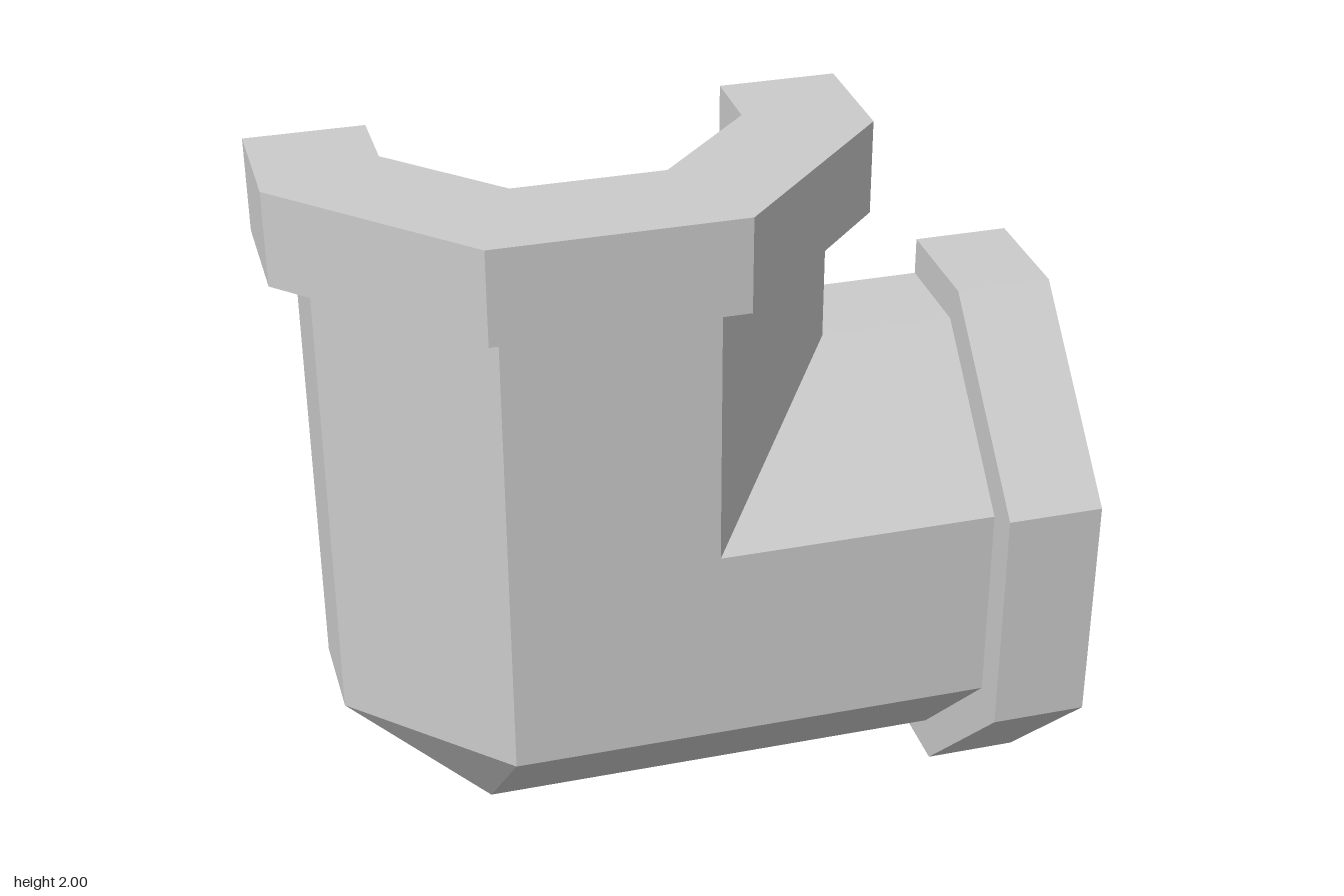
import * as THREE from 'three';

// Half-pipe cross-sections as [u, z]: u is the offset from the pipe axis
// (positive on the outside of the bend), z is depth. Back is cut flat.
const BACK = -0.375;
const outer = (half, flat, front) => [
  [half, BACK], [half, front - (half - flat)], [flat, front],
  [-flat, front], [-half, front - (half - flat)], [-half, BACK],
];
const BEND = 0.27; // beyond this offset the outer corner is cut at 45 degrees
const bore = [
  [-0.45, BACK], [-0.45, -0.185], [-0.19, 0.075], [0.19, 0.075],
  [BEND, -0.005], [0.45, -0.185], [0.45, BACK],
];
const flange = [...outer(0.75, 0.3125, 0.375), ...bore];
const pipe = [...outer(0.65, BEND, 0.275), ...bore];

// Axes of the upright and the sideways branch
const AX = -0.25, AY = 0.75;
const upright = (section, y) => section.map(([u, z]) => new THREE.Vector3(AX - u, y, z));
const sideways = (section, x) => section.map(([u, z]) => new THREE.Vector3(x, AY - u, z));

function elbowGeometry() {
  // Rings from the top opening, round the mitred bend, to the side opening
  const rings = [
    upright(flange, 2), upright(flange, 1.755), upright(pipe, 1.755),
    pipe.map(([u, z]) => new THREE.Vector3(AX - u, AY - Math.min(u, BEND), z)),
    pipe.map(([u, z]) => new THREE.Vector3(AX - Math.min(u, BEND), AY - u, z)),
    sideways(pipe, 0.75), sideways(flange, 0.75), sideways(flange, 1),
  ];
  const positions = [];
  const triangle = (a, b, c) => {
    // rings share points in places, so leave out collapsed triangles
    if (new THREE.Triangle(a, b, c).getArea() < 1e-7) return;
    for (const p of [a, b, c]) positions.push(p.x, p.y, p.z);
  };

  // Walls between neighbouring rings
  for (let s = 0; s < rings.length - 1; s++) {
    const a = rings[s], b = rings[s + 1];
    for (let i = 0; i < a.length; i++) {
      const j = (i + 1) % a.length;
      triangle(b[i], b[j], a[j]);
      triangle(b[i], a[j], a[i]);
    }
  }

  // End faces of the two flanges
  const contour = flange.map(([u, z]) => new THREE.Vector2(-u, -z));
  const first = rings[0], last = rings[rings.length - 1];
  for (const [a, b, c] of THREE.ShapeUtils.triangulateShape(contour, [])) {
    triangle(first[a], first[b], first[c]);
    triangle(last[a], last[c], last[b]);
  }

  const geometry = new THREE.BufferGeometry();
  geometry.setAttribute('position', new THREE.Float32BufferAttribute(positions, 3));
  geometry.computeVertexNormals();
  return geometry;
}

export function createModel() {
  const model = new THREE.Group();
  model.name = 'halfPipeElbow';
  const material = new THREE.MeshStandardMaterial({ color: 0xcccccc, flatShading: true });
  const elbow = new THREE.Mesh(elbowGeometry(), material);
  elbow.name = 'flangedElbow';
  model.add(elbow);
  return model;
}
